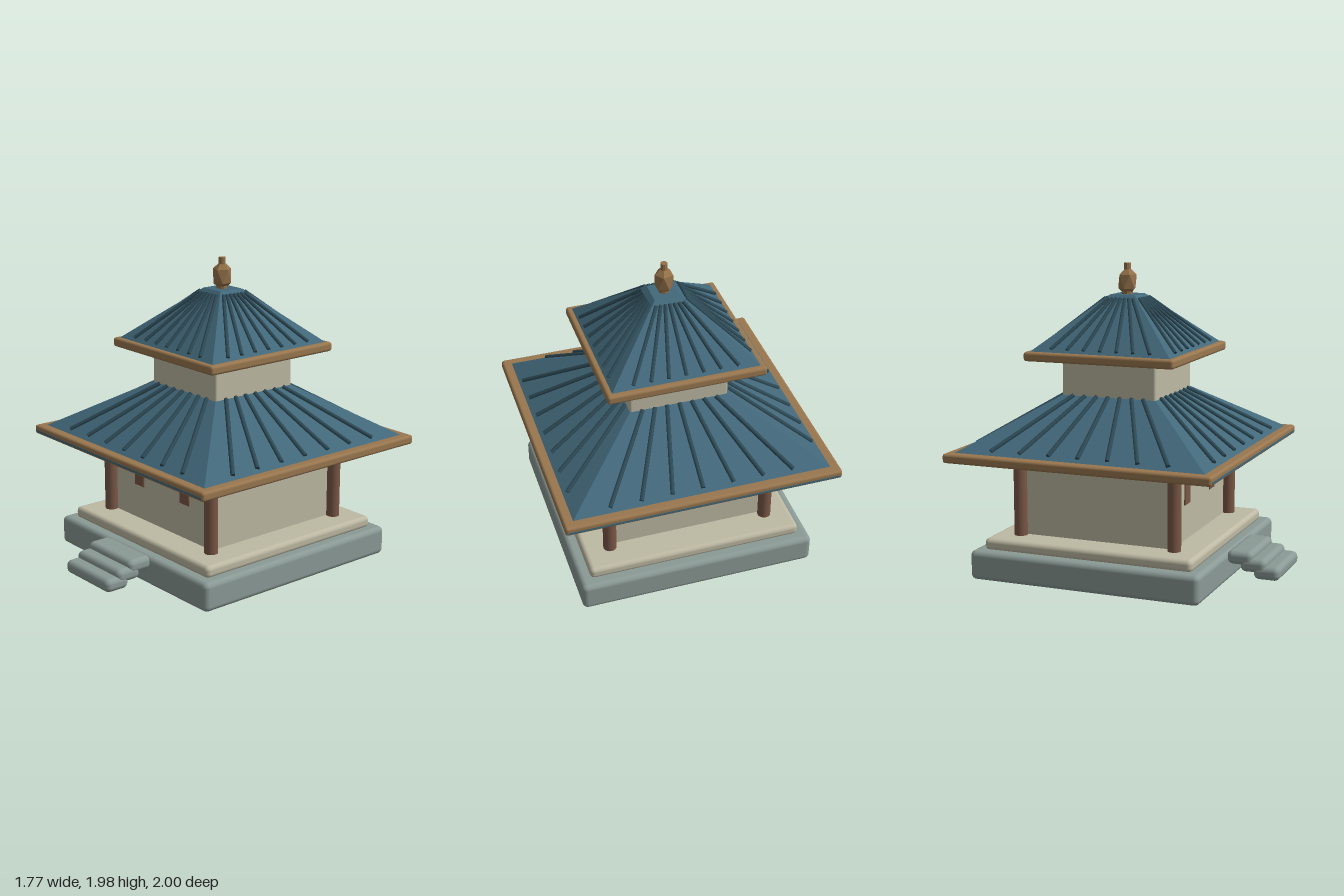
import * as THREE from 'three';
import { RoundedBoxGeometry } from 'three/addons/geometries/RoundedBoxGeometry.js';

const mat = (name, color, flatShading = false) => {
  const m = new THREE.MeshStandardMaterial({ color, flatShading });
  m.name = name;
  return m;
};

export function createModel() {
  const stone = mat('stone', 0x8b9a96);
  const plaster = mat('plaster', 0xbdb9a3);
  const wood = mat('dark wood', 0x785645);
  const tile = mat('roof tile', 0x42687a, true);
  const rib = mat('roof rib', 0x2d4a56);
  const trim = mat('eave wood', 0x99774f);
  const bronze = mat('bronze', 0x94714a, true);

  const model = new THREE.Group();
  model.name = 'pavilion';
  // everything except the steps shares one vertical axis
  const building = new THREE.Group();
  building.name = 'building';
  building.position.z = -0.11;
  model.add(building);

  const add = (parent, name, geometry, material, x = 0, y = 0, z = 0) => {
    const mesh = new THREE.Mesh(geometry, material);
    mesh.name = name;
    mesh.position.set(x, y, z);
    parent.add(mesh);
    return mesh;
  };
  // rounded block given by half width and bottom/top heights
  const block = (name, half, y0, y1, radius, material) =>
    add(building, name, new RoundedBoxGeometry(half * 2, y1 - y0, half * 2, 3, radius),
      material, 0, (y0 + y1) / 2);

  // Base and walls
  block('stoneBase', 0.77, 0, 0.19, 0.035, stone);
  block('plinth', 0.7, 0.18, 0.26, 0.03, plaster);
  block('lowerWalls', 0.5, 0.24, 0.79, 0.015, plaster);
  block('upperWalls', 0.32, 1.1, 1.4, 0.015, plaster);

  // Corner posts
  for (const sx of [-1, 1]) for (const sz of [-1, 1])
    add(building, 'cornerPost', new THREE.CylinderGeometry(0.043, 0.043, 0.53, 20),
      wood, sx * 0.525, 0.515, sz * 0.525);

  // Front windows
  for (const sx of [-1, 1])
    add(building, 'window', new THREE.BoxGeometry(0.095, 0.2, 0.008), wood, sx * 0.235, 0.59, 0.503);

  // Hipped roof: eave slab, four sloping faces and seven ribs on each face
  const addRoof = (name, eave, bottom, top, y0, y1, ribR, t0, t1) => {
    block(name + 'Eave', eave, y0 - 0.06, y0, 0.018, trim);
    const slopes = new THREE.CylinderGeometry(top * Math.SQRT2, bottom * Math.SQRT2, y1 - y0, 4);
    slopes.rotateY(Math.PI / 4);
    add(building, name + 'Slopes', slopes, tile, 0, (y0 + y1) / 2);
    const up = new THREE.Vector3(0, 1, 0);
    for (let side = 0; side < 4; side++) {
      const ribs = new THREE.Group();
      ribs.name = name + 'Ribs';
      ribs.rotation.y = side * Math.PI / 2;
      building.add(ribs);
      for (let i = -3; i <= 3; i++) {
        const point = (t) => {
          const d = THREE.MathUtils.lerp(bottom, top, t);
          return new THREE.Vector3(d * i * 0.245, THREE.MathUtils.lerp(y0, y1, t) + 0.006, d);
        };
        const a = point(t0), b = point(t1);
        const mesh = add(ribs, 'roofRib', new THREE.CylinderGeometry(ribR, ribR, a.distanceTo(b), 8), rib);
        mesh.position.copy(a).add(b).multiplyScalar(0.5);
        mesh.quaternion.setFromUnitVectors(up, b.sub(a).normalize());
      }
    }
  };
  addRoof('lowerRoof', 0.886, 0.825, 0.32, 0.83, 1.15, 0.014, 0.05, 0.99);
  addRoof('upperRoof', 0.505, 0.47, 0.085, 1.44, 1.78, 0.012, 0.04, 0.92);

  // Tile line along the front and back eave
  for (const sz of [-1, 1])
    add(building, 'eaveLine', new THREE.BoxGeometry(1.74, 0.014, 0.004), tile, 0, 0.791, sz * 0.885);

  // Finial: collar, faceted bulb and tip
  add(building, 'finialCollar', new THREE.CylinderGeometry(0.035, 0.035, 0.05, 10), bronze, 0, 1.79);
  const bulb = new THREE.IcosahedronGeometry(1);
  bulb.rotateX(-Math.atan((1 + Math.sqrt(5)) / 2)).rotateY(Math.PI / 2).scale(0.067, 0.1, 0.067);
  add(building, 'finialBulb', bulb, bronze, 0, 1.86);
  add(building, 'finialTip', new THREE.CylinderGeometry(0.022, 0.022, 0.06, 10), bronze, 0, 1.95);

  // Front steps
  for (let i = 0; i < 3; i++)
    add(model, 'step', new RoundedBoxGeometry(0.46, 0.088, 0.17, 4, 0.036),
      stone, 0, 0.083 + i * 0.041, 0.913 - i * 0.087);

  return model;
}
